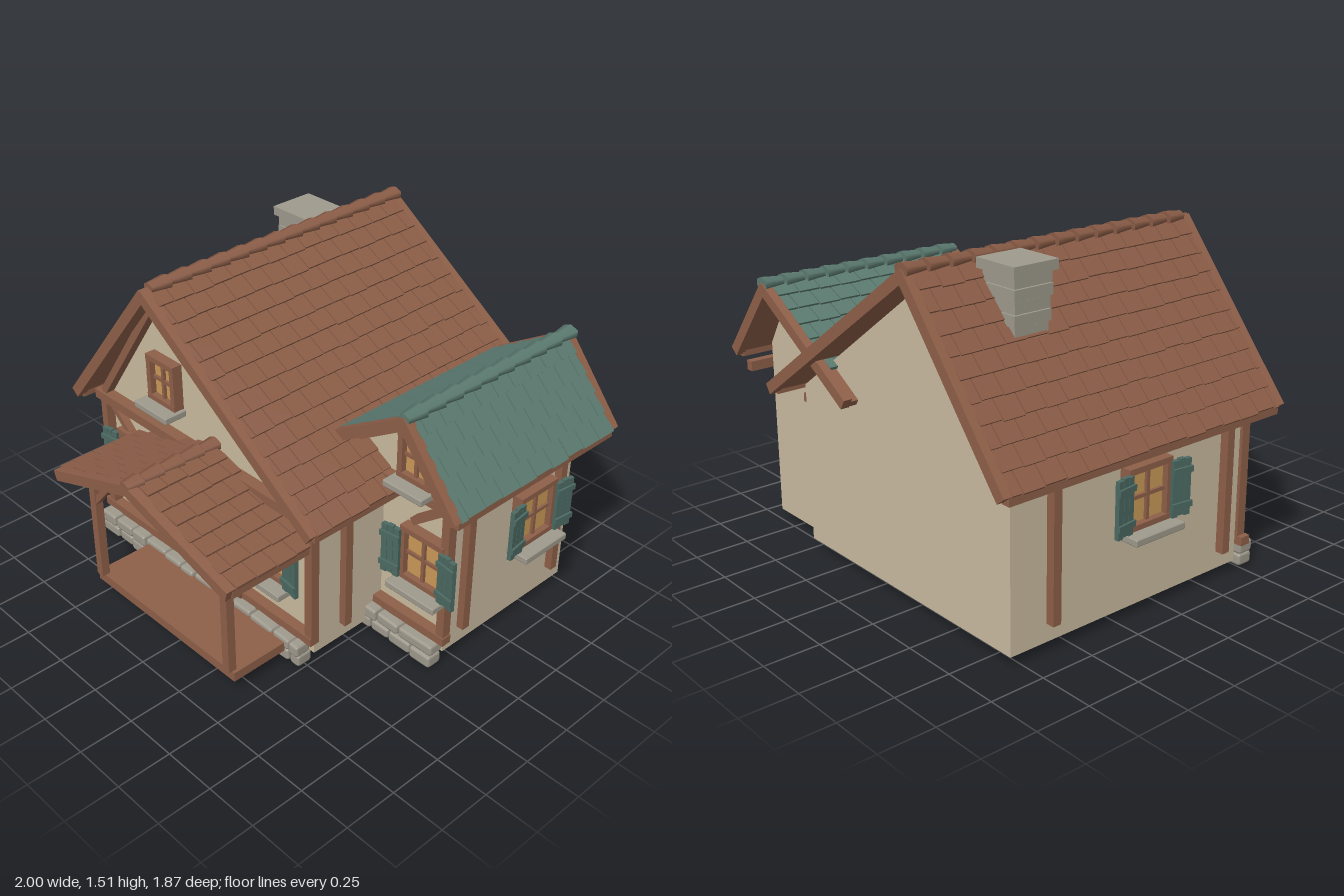
import * as THREE from 'three';
import { mergeGeometries } from 'three/addons/utils/BufferGeometryUtils.js';
import { RoundedBoxGeometry } from 'three/addons/geometries/RoundedBoxGeometry.js';

const mat = (name, color) => {
  const m = new THREE.MeshStandardMaterial({ color });
  m.name = name;
  return m;
};
const M = {
  plaster: mat('plaster', 0xcabba0),
  timber: mat('timber', 0x8f6049),
  tile: mat('brownTile', 0x8b5d47),
  teal: mat('tealTile', 0x5b7a70),
  shutter: mat('shutterTeal', 0x4c6a62),
  stone: mat('stone', 0x9f9a8d),
  glass: mat('warmGlass', 0xcb9a57),
  door: mat('doorWood', 0x7d5040),
  iron: mat('iron', 0x3a3a3a),
};

// small seeded random
let seed = 7;
const rnd = () => (seed = (seed * 16807) % 2147483647) / 2147483647;

function group(parent, name) {
  const g = new THREE.Group();
  g.name = name;
  parent.add(g);
  return g;
}
function add(parent, name, geo, material) {
  const m = new THREE.Mesh(geo, material);
  m.name = name;
  parent.add(m);
  return m;
}
// box given by its limits
function box(p, name, material, x0, x1, y0, y1, z0, z1) {
  const g = new THREE.BoxGeometry(x1 - x0, y1 - y0, z1 - z0);
  g.translate((x0 + x1) / 2, (y0 + y1) / 2, (z0 + z1) / 2);
  return add(p, name, g, material);
}
// sloped bar between two points of the xy plane
function bar(p, name, material, [xa, ya], [xb, yb], w, z0, z1, drop = 0) {
  const a = Math.atan2(yb - ya, xb - xa), s = Math.sign(xb - xa);
  const g = new THREE.BoxGeometry(Math.hypot(xb - xa, yb - ya), w, z1 - z0);
  g.rotateZ(a);
  g.translate((xa + xb) / 2 + s * Math.sin(a) * drop, (ya + yb) / 2 - s * Math.cos(a) * drop, (z0 + z1) / 2);
  return add(p, name, g, material);
}
// pentagonal gabled body
function body(p, name, pts, z0, z1) {
  const s = new THREE.Shape(pts.map(([x, y]) => new THREE.Vector2(x, y)));
  const g = new THREE.ExtrudeGeometry(s, { depth: z1 - z0, bevelEnabled: false });
  g.translate(0, 0, z0);
  add(p, name, g, M.plaster);
}

// staggered tiles on one slope; rows stop at the length given by cover
function tiles(p, name, material, R, E, z0, z1, rows, cover = 1) {
  const dx = E[0] - R[0], dy = E[1] - R[1], L = Math.hypot(dx, dy), s = Math.sign(dx);
  const ux = dx / L, uy = dy / L, nx = -uy * s, ny = ux * s, step = L / rows, W = 0.105;
  const list = [];
  for (let r = 0; r < Math.ceil(rows * cover); r++) {
    const start = z0 - (r % 2 ? W / 2 : 0);
    for (let z = start; z < z1 - 0.01; z += W) {
      const a = Math.max(z, z0), b = Math.min(z + W, z1);
      if (b - a < 0.02) continue;
      const g = new THREE.BoxGeometry(step * 1.08, 0.014, b - a - 0.005);
      g.rotateZ(Math.atan2(dy, dx) + s * 0.1);
      const t = (r + 0.5) * step + (rnd() - 0.5) * 0.008;
      g.translate(R[0] + ux * t + nx * 0.002, R[1] + uy * t + ny * 0.002, (a + b) / 2);
      list.push(g);
    }
  }
  add(p, name, mergeGeometries(list), material);
}

// whole gable roof: boards, tiles, barge boards, eave boards, ridge caps
function roof(p, name, material, R, left, right, z0, z1, opt) {
  const g = group(p, name);
  [[left, opt.rows[0], opt.cover ?? 1], [right, opt.rows[1], 1]].forEach(([E, rows, cover], i) => {
    const side = i ? 'right' : 'left';
    bar(g, side + 'Boards', M.timber, R, E, 0.028, z0 + 0.01, z1 - 0.01, 0.022);
    tiles(g, side + 'Tiles', material, R, E, z0 + 0.035, z1 - 0.035, rows, cover);
    bar(g, side + 'BargeFront', M.timber, R, E, 0.05, z1 - 0.045, z1, 0.016);
    if (opt.back) bar(g, side + 'BargeBack', M.timber, R, E, 0.05, z0, z0 + 0.04, 0.016);
    const s = Math.sign(E[0] - R[0]);
    if (cover === 1)
      box(g, side + 'EaveBoard', M.timber, E[0] - 0.02 - s * 0.02, E[0] + 0.02 - s * 0.02, E[1] - 0.035, E[1] + 0.005, z0 + 0.03, z1 - 0.03);
  });
  for (let z = z0 + 0.005; z < z1 - 0.05; z += 0.105) {
    const len = Math.min(0.097, z1 - z);
    const cap = new THREE.CylinderGeometry(0.03, 0.044, len, 6);
    cap.scale(1, 1, 0.7).rotateX(Math.PI / 2).rotateZ(Math.PI);
    cap.translate(R[0], R[1] + 0.003, z + len / 2);
    add(g, 'ridgeCap', cap, material);
  }
}

// window on a wall facing local +z, with sill and optional shutters
function windowUnit(p, name, x, y, z, w, h, turn, shutters) {
  const g = group(p, name);
  g.position.set(x, y, z);
  g.rotation.y = turn;
  const a = w / 2, b = h / 2, t = 0.026;
  box(g, 'glass', M.glass, -a + 0.01, a - 0.01, -b + 0.01, b - 0.01, 0, 0.022);
  for (const s of [-1, 1]) {
    box(g, 'frameSide', M.timber, s * a - (s > 0 ? t : 0), s * a + (s < 0 ? t : 0), -b, b, 0, 0.05);
    box(g, 'frameRail', M.timber, -a, a, s * b - (s > 0 ? t : 0), s * b + (s < 0 ? t : 0), 0, 0.052);
  }
  box(g, 'mullion', M.timber, -0.008, 0.008, -b, b, 0, 0.036);
  box(g, 'transom', M.timber, -a, a, -0.008, 0.008, 0, 0.034);
  const sill = new RoundedBoxGeometry(w + 0.035, 0.032, 0.115, 1, 0.006);
  add(g, 'sill', sill, M.stone).position.set(0, -b - 0.014, 0.058);
  if (shutters) for (const s of [-1, 1]) {
    const sh = group(g, 'shutter');
    sh.position.set(s * (a + 0.036), -0.005, 0.062);
    sh.rotation.y = -s * 0.12;
    for (const k of [-1, 0, 1])
      box(sh, 'plank', M.shutter, k * 0.031 - 0.0145, k * 0.031 + 0.0145, -0.125 + (k ? 0 : 0.006), 0.125 - (k ? 0.005 : 0), -0.01, 0.01);
    for (const k of [-1, 1]) box(sh, 'batten', M.shutter, -0.05, 0.05, k * 0.075 - 0.013, k * 0.075 + 0.013, 0.008, 0.02);
  }
}

// two courses of rough stones along a wall foot
function stones(p, name, x0, x1, z) {
  const g = group(p, name);
  for (let row = 0; row < 2; row++) {
    let x = x0;
    while (x < x1 - 0.03) {
      let w = 0.09 + rnd() * 0.06;
      if (x1 - x - w < 0.06) w = x1 - x;
      const geo = new RoundedBoxGeometry(w - 0.004, 0.052 + rnd() * 0.01, 0.08, 1, 0.014);
      const st = add(g, 'stone', geo, M.stone);
      st.position.set(x + w / 2, 0.047 + row * 0.056, z + rnd() * 0.012);
      st.rotation.z = (rnd() - 0.5) * 0.1;
      x += w;
    }
  }
}

export function createModel() {
  const house = new THREE.Group();
  house.name = 'cottage';

  // plastered bodies
  body(house, 'mainWalls', [[-0.87, 0.05], [0.5, 0.05], [0.5, 0.78], [-0.41, 1.43], [-0.87, 0.8]], -0.8, 0.46);
  body(house, 'wingWalls', [[0.3, 0.05], [0.87, 0.05], [0.87, 0.87], [0.7, 1.14], [0.3, 0.88]], -0.74, 0.055);

  // roofs
  roof(house, 'mainRoof', M.tile, [-0.41, 1.48], [-0.985, 0.77], [0.605, 0.775], -0.93, 0.585, { rows: [10, 13], back: true });
  roof(house, 'wingRoof', M.teal, [0.7, 1.195], [0.09, 0.825], [0.99, 0.84], -0.875, 0.18, { rows: [8, 5], cover: 0.66, back: true });
  roof(house, 'porchRoof', M.tile, [-0.11, 0.832], [-0.635, 0.65], [0.52, 0.65], 0.44, 0.943, { rows: [6, 7] });

  // timber frame of the main front
  const f = group(house, 'mainFrontFrame');
  box(f, 'sillBeam', M.timber, -0.91, 0.53, 0.13, 0.17, 0.46, 0.51);
  box(f, 'tieBeam', M.timber, -0.91, 0.52, 0.735, 0.78, 0.46, 0.515);
  box(f, 'leftPost', M.timber, -0.885, -0.845, 0.14, 0.78, 0.46, 0.505);
  box(f, 'rightPost', M.timber, 0.49, 0.53, 0.13, 0.78, 0.46, 0.505);
  bar(f, 'leftBrace', M.timber, [-0.83, 0.74], [-0.7, 0.62], 0.032, 0.46, 0.495);
  bar(f, 'rightBrace', M.timber, [0.34, 0.62], [0.48, 0.74], 0.032, 0.46, 0.495);
  bar(f, 'leftRake', M.timber, [-0.41, 1.43], [-0.86, 0.78], 0.036, 0.46, 0.505);
  bar(f, 'rightRake', M.timber, [-0.41, 1.43], [0.5, 0.785], 0.036, 0.46, 0.505);

  // timber frame of the wing front
  const w = group(house, 'wingFrontFrame');
  box(w, 'sillBeam', M.timber, 0.5, 0.91, 0.13, 0.17, 0.055, 0.105);
  box(w, 'tieBeam', M.timber, 0.5, 0.9, 0.795, 0.835, 0.055, 0.105);
  box(w, 'post', M.timber, 0.865, 0.905, 0.13, 0.86, 0.055, 0.1);
  bar(w, 'brace', M.timber, [0.7, 0.67], [0.85, 0.79], 0.034, 0.055, 0.1);
  bar(w, 'leftRake', M.timber, [0.7, 1.14], [0.3, 0.89], 0.034, 0.055, 0.1);
  bar(w, 'rightRake', M.timber, [0.7, 1.14], [0.89, 0.84], 0.034, 0.055, 0.1);

  // posts and beams on the side walls
  const s = group(house, 'sideFrame');
  for (const z of [-0.05, -0.65]) box(s, 'wingPost', M.timber, 0.87, 0.905, 0.14, 0.79, z - 0.02, z + 0.02);
  box(s, 'wingBeam', M.timber, 0.87, 0.91, 0.755, 0.8, -0.85, 0.05);
  box(s, 'mainRightPost', M.timber, 0.5, 0.535, 0.13, 0.74, 0.27, 0.31);
  box(s, 'mainRightBeam', M.timber, 0.5, 0.535, 0.69, 0.73, -0.79, 0.44);
  for (const z of [-0.6, 0.36]) box(s, 'mainLeftPost', M.timber, -0.91, -0.87, 0.13, 0.74, z - 0.02, z + 0.02);
  box(s, 'mainLeftBeam', M.timber, -0.91, -0.87, 0.7, 0.74, -0.79, 0.45);

  // windows
  windowUnit(house, 'frontLeftWindow', -0.645, 0.495, 0.46, 0.24, 0.27, 0, true);
  windowUnit(house, 'frontRightWindow', 0.265, 0.495, 0.46, 0.24, 0.27, 0, true);
  windowUnit(house, 'atticWindow', -0.41, 1.02, 0.46, 0.185, 0.22, 0, false);
  windowUnit(house, 'wingWindow', 0.763, 0.495, 0.055, 0.24, 0.27, 0, true);
  windowUnit(house, 'wingAtticWindow', 0.7, 0.97, 0.055, 0.18, 0.22, 0, false);
  windowUnit(house, 'wingSideWindow', 0.87, 0.54, -0.465, 0.24, 0.27, Math.PI / 2, true);
  windowUnit(house, 'mainSideWindow', -0.87, 0.54, -0.12, 0.24, 0.27, -Math.PI / 2, true);

  // arched plank door
  const d = group(house, 'door');
  const arch = new THREE.Shape();
  arch.moveTo(-0.16, 0.12);
  arch.lineTo(0.16, 0.12);
  arch.lineTo(0.16, 0.54);
  arch.bezierCurveTo(0.15, 0.62, 0.09, 0.65, 0, 0.652);
  arch.bezierCurveTo(-0.09, 0.65, -0.15, 0.62, -0.16, 0.54);
  add(d, 'doorLeaf', new THREE.ExtrudeGeometry(arch, { depth: 0.045, bevelEnabled: false }), M.door);
  for (let i = -3; i <= 3; i++)
    box(d, 'plank', M.door, i * 0.043 - 0.018, i * 0.043 + 0.018, 0.125, 0.64 - 0.0095 * i * i, 0.04, 0.058);
  const knob = add(d, 'knob', new THREE.SphereGeometry(0.014, 12, 8), M.iron);
  knob.position.set(0.078, 0.345, 0.066);
  d.position.set(-0.058, 0, 0.46);

  // stone footing
  stones(house, 'mainFooting', -0.89, 0.5, 0.51);
  stones(house, 'wingFooting', 0.42, 0.885, 0.105);

  // porch deck, posts, braces and steps
  const p = group(house, 'porch');
  box(p, 'deck', M.timber, -0.53, 0.415, 0.065, 0.11, 0.47, 0.835);
  for (const [x, k] of [[-0.5, 1], [0.38, -1]]) {
    box(p, 'porchPost', M.timber, x - 0.02, x + 0.02, 0.11, 0.68, 0.81, 0.85);
    bar(p, 'porchBrace', M.timber, [x + k * 0.01, 0.52], [x + k * 0.12, 0.65], 0.03, 0.815, 0.845);
  }
  box(p, 'lowerStep', M.stone, -0.335, 0.22, 0.004, 0.04, 0.66, 0.78);
  box(p, 'upperStep', M.stone, -0.3, 0.19, 0.035, 0.064, 0.6, 0.725);

  // hanging lantern
  const l = group(house, 'lantern');
  box(l, 'lamp', M.glass, 0.237, 0.277, 0.54, 0.605, 0.63, 0.67);
  box(l, 'lampCap', M.timber, 0.232, 0.282, 0.603, 0.612, 0.625, 0.675);
  box(l, 'hanger', M.iron, 0.253, 0.261, 0.61, 0.72, 0.646, 0.654);

  // chimney flaring to a cap
  const c = group(house, 'chimney');
  for (let i = 0; i < 7; i++) {
    const r = 0.078 + i * 0.0025 + (i % 2) * 0.005;
    box(c, 'course', M.stone, -0.56 - r, -0.56 + r, 1.1 + i * 0.05, 1.147 + i * 0.05, -0.5 - r, -0.5 + r);
  }
  box(c, 'core', M.stone, -0.63, -0.49, 1.05, 1.46, -0.57, -0.43);
  box(c, 'cap', M.stone, -0.67, -0.45, 1.448, 1.49, -0.61, -0.39);
  return house;
}
